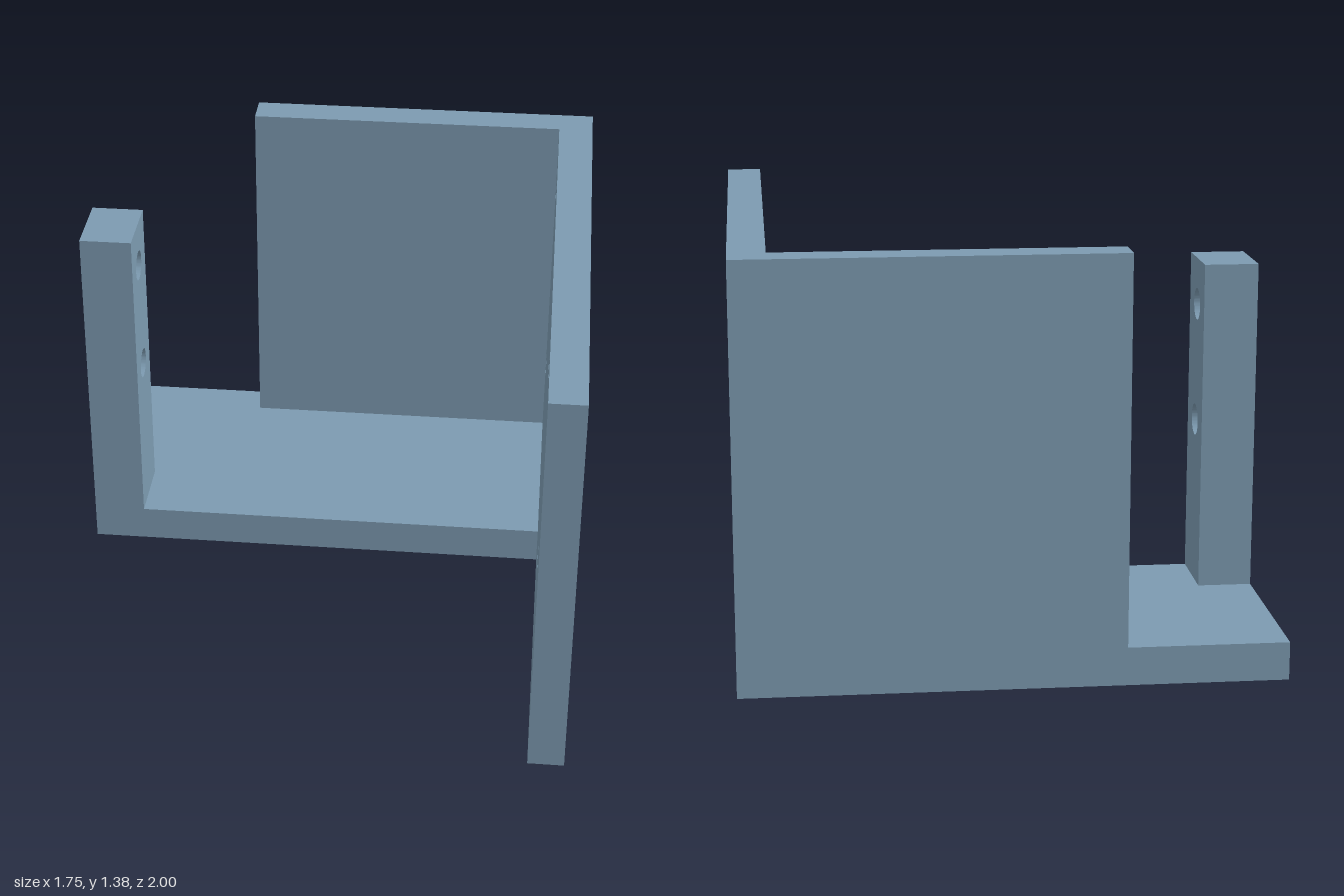
import * as THREE from 'three';
import { toCreasedNormals } from 'three/addons/utils/BufferGeometryUtils.js';

const steel = new THREE.MeshStandardMaterial({ color: 0x7c9ab0 });
steel.name = 'steel blue';

// Box given by its min and max corners
function block(name, [x0, y0, z0], [x1, y1, z1]) {
  const mesh = new THREE.Mesh(new THREE.BoxGeometry(x1 - x0, y1 - y0, z1 - z0), steel);
  mesh.position.set((x0 + x1) / 2, (y0 + y1) / 2, (z0 + z1) / 2);
  mesh.name = name;
  return mesh;
}

// Block drilled through along x; holes are [z, y] centres
function drilledBlock(name, [x0, y0, z0], [x1, y1, z1], holes, radius) {
  // Shape x runs along -z so that the extrusion runs along +x once turned
  const shape = new THREE.Shape([
    new THREE.Vector2(-z1, y0), new THREE.Vector2(-z0, y0),
    new THREE.Vector2(-z0, y1), new THREE.Vector2(-z1, y1),
  ]);
  for (const [z, y] of holes) {
    shape.holes.push(new THREE.Path().absarc(-z, y, radius, 0, Math.PI * 2, true));
  }
  const solid = new THREE.ExtrudeGeometry(shape, { depth: x1 - x0, bevelEnabled: false, curveSegments: 32 });
  solid.rotateY(Math.PI / 2).translate(x0, 0, 0);
  const mesh = new THREE.Mesh(toCreasedNormals(solid, 0.5), steel);
  mesh.name = name;
  return mesh;
}

export function createModel() {
  const model = new THREE.Group();
  model.name = 'mountingBracket';
  const r = 0.053;

  // Large side plate with four mounting holes
  const plateHoles = [];
  for (const z of [0.48, -0.75]) for (const y of [0.465, 1.2]) plateHoles.push([z, y]);
  model.add(drilledBlock('mountingPlate', [0.755, 0, -1], [0.875, 1.385, 1], plateHoles, r));

  // Floor and back wall
  model.add(block('base', [-0.875, 0, -1], [0.755, 0.125, -0.14]));
  model.add(block('backWall', [-0.355, 0.125, -1], [0.755, 1.385, -0.88]));

  // Upright post with two holes
  model.add(drilledBlock('post', [-0.875, 0.125, -0.39], [-0.695, 1.235, -0.14],
    [[-0.265, 0.68], [-0.265, 1.08]], r));

  return model;
}
